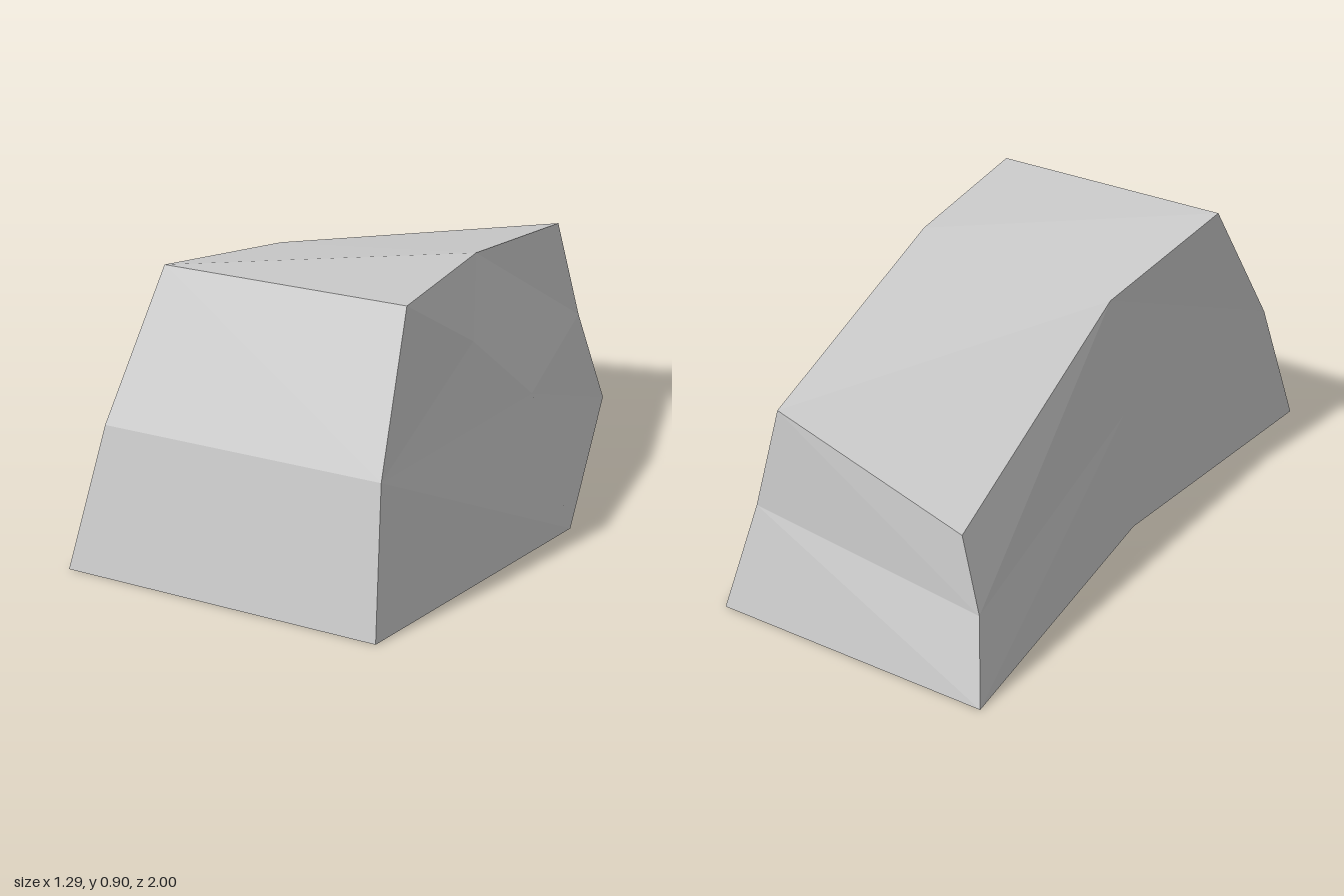
import * as THREE from 'three';

// A section runs from the bottom left (+x) up over the top to the bottom right (-x).
// Each level is [leftX, leftY, rightX, rightY, z], listed from bottom to top.
const section = (levels) => [
  ...levels.map(([lx, ly, , , z]) => new THREE.Vector3(lx, ly, z)),
  ...levels.map(([, , rx, ry, z]) => new THREE.Vector3(rx, ry, z)).reverse(),
];

const front = section([[0.415, 0, -0.645, 0, 1], [0.37, 0.45, -0.57, 0.45, 0.87], [0.335, 0.905, -0.485, 0.905, 0.63]]);
const middle = section([[0.645, 0, -0.515, 0, 0.06], [0.5, 0.445, -0.46, 0.41, 0.06], [0.3, 0.885, -0.4, 0.815, 0.06]]);
const back = section([[0.355, 0, -0.585, 0, -1], [0.285, 0.35, -0.52, 0.25, -0.9], [0.21, 0.695, -0.44, 0.485, -0.865]]);

// Peak of the bulge on the upper left flank, ahead of the middle
const bulge = new THREE.Vector3(0.4, 0.69, 0.3);

function rockGeometry() {
  const points = [];
  // Quad with corners counterclockwise from outside, split along a-c or b-d
  const quad = (a, b, c, d, splitAC) =>
    points.push(...(splitAC ? [a, b, c, a, c, d] : [a, b, d, b, c, d]));
  // Quad raised to a peak
  const peak = (corners, tip) =>
    corners.forEach((c, i) => points.push(c, corners[(i + 1) % corners.length], tip));

  // Flanks, top and underside; the hollow right flank is split the other way at the back
  for (let j = 0; j < 6; j++) {
    const k = (j + 1) % 6;
    if (j === 1) peak([front[j], middle[j], middle[k], front[k]], bulge);
    else quad(front[j], middle[j], middle[k], front[k], false);
    quad(middle[j], back[j], back[k], middle[k], j >= 3);
  }
  // Sloping front and back ends, each in a lower and an upper facet
  for (let j = 0; j < 2; j++) {
    quad(front[j], front[j + 1], front[4 - j], front[5 - j], true);
    quad(back[5 - j], back[4 - j], back[j + 1], back[j], true);
  }
  const geometry = new THREE.BufferGeometry().setFromPoints(points);
  geometry.computeVertexNormals();
  return geometry;
}

export function createModel() {
  const group = new THREE.Group();
  group.name = 'rock';
  const material = new THREE.MeshStandardMaterial({ color: 0xcccccc, flatShading: true });
  const boulder = new THREE.Mesh(rockGeometry(), material);
  boulder.name = 'boulder';
  group.add(boulder);
  return group;
}
